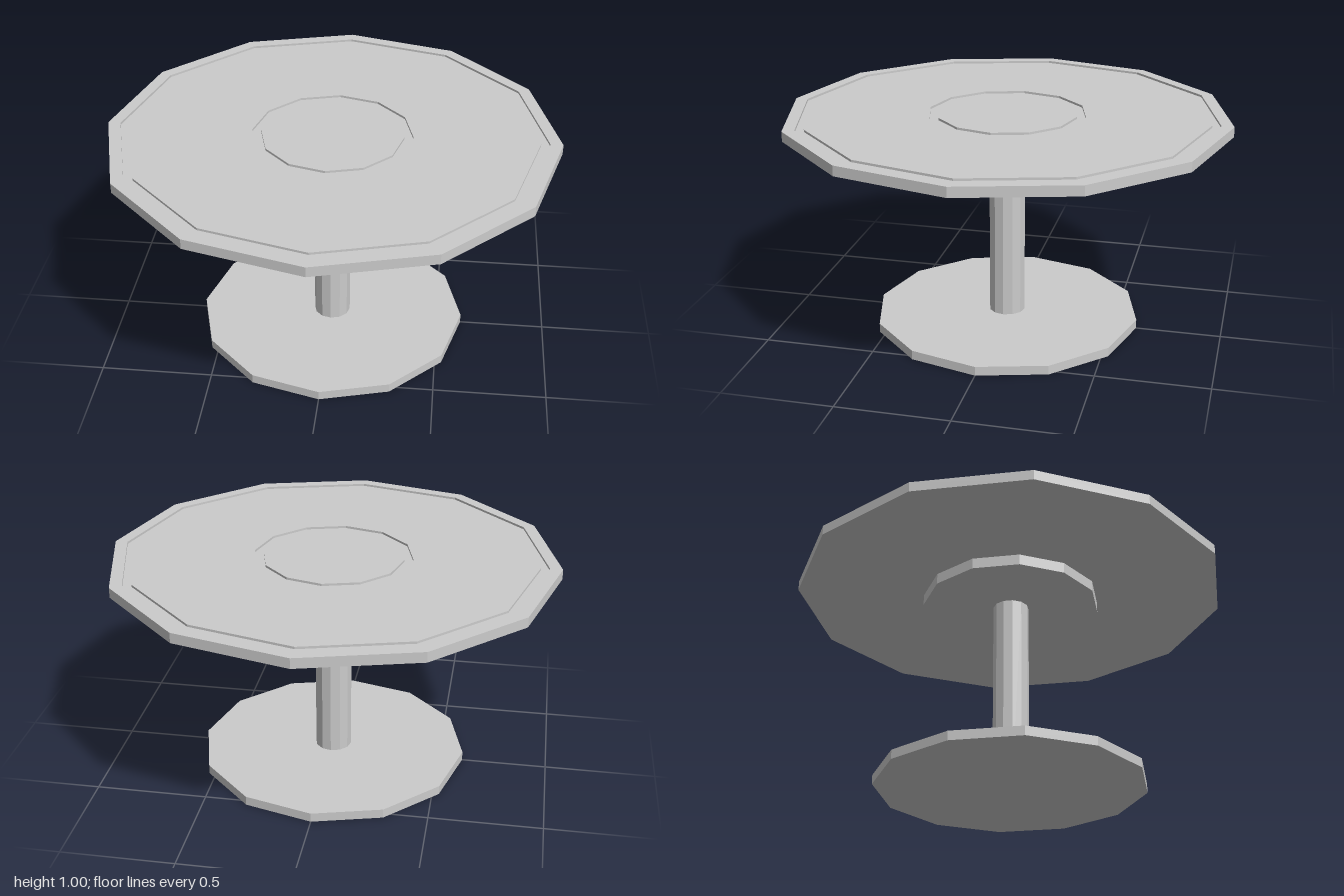
import * as THREE from 'three';

const SIDES = 12;
const material = new THREE.MeshStandardMaterial({ color: 0xcccccc, flatShading: true });

function addPart(group, name, geometry, y = 0) {
  const mesh = new THREE.Mesh(geometry, material);
  mesh.name = name;
  mesh.position.y = y;
  group.add(mesh);
}

// Twelve-sided prism standing between two heights
function addPrism(group, name, radius, bottom, top) {
  addPart(group, name, new THREE.CylinderGeometry(radius, radius, top - bottom, SIDES), (top + bottom) / 2);
}

export function createModel() {
  const table = new THREE.Group();
  table.name = 'pedestalTable';

  addPrism(table, 'base', 0.613, 0, 0.042);
  addPrism(table, 'column', 0.083, 0.042, 0.905);
  addPrism(table, 'supportPlate', 0.413, 0.905, 0.955);

  // Table top: one turned profile with two shallow grooves in its upper face
  const bottom = 0.955, top = 1, floor = 0.99;
  const profile = [[0, bottom], [1, bottom], [1, top]];
  for (const [outer, inner] of [[0.945, 0.905], [0.355, 0.315]]) {
    profile.push([outer, top], [outer, floor], [inner, floor], [inner, top]);
  }
  profile.push([0, top]);
  const points = profile.map(([r, y]) => new THREE.Vector2(r, y));
  addPart(table, 'tableTop', new THREE.LatheGeometry(points, SIDES));

  return table;
}
